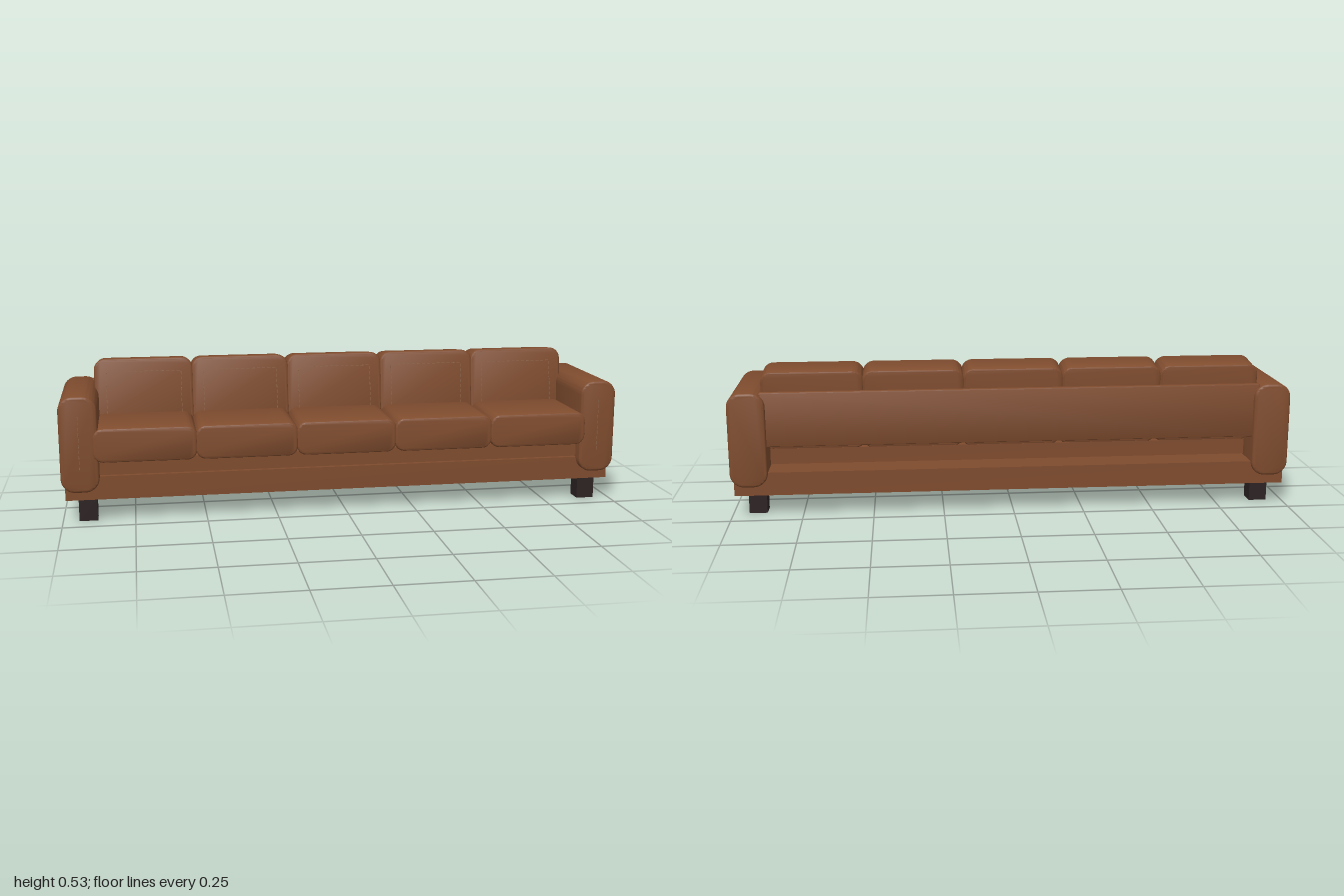
import * as THREE from 'three';
import { toCreasedNormals } from 'three/addons/utils/BufferGeometryUtils.js';

const material = (name, color) => Object.assign(new THREE.MeshStandardMaterial({ color }), { name });

// Rounded rectangle in XY, extruded along Z with softened edges, centred on the origin
function pad(w, h, d, r, bevel) {
  const x = w / 2 - bevel, y = h / 2 - bevel, c = r - bevel;
  const s = new THREE.Shape();
  s.absarc(x - c, y - c, c, 0, Math.PI / 2);
  s.absarc(-x + c, y - c, c, Math.PI / 2, Math.PI);
  s.absarc(-x + c, -y + c, c, Math.PI, Math.PI * 1.5);
  s.absarc(x - c, -y + c, c, Math.PI * 1.5, Math.PI * 2);
  s.closePath();
  const geo = new THREE.ExtrudeGeometry(s, {
    depth: d - 2 * bevel, bevelEnabled: true, bevelSize: bevel,
    bevelThickness: bevel, bevelSegments: 4, curveSegments: 8,
  });
  geo.translate(0, 0, -d / 2 + bevel);
  return toCreasedNormals(geo, 0.6);
}

export function createModel() {
  const model = new THREE.Group();
  const leather = material('brown leather', 0x7f4c2e);
  const darkWood = material('dark wood', 0x2d2223);
  const thread = material('tan thread', 0x8d6549);

  function add(name, geo, mat, x, y, z, parent = model) {
    const mesh = new THREE.Mesh(geo, mat);
    mesh.name = name;
    mesh.position.set(x, y, z);
    parent.add(mesh);
    return mesh;
  }
  // Box given by its limits
  const block = (name, mat, x0, x1, y0, y1, z0, z1) =>
    add(name, new THREE.BoxGeometry(x1 - x0, y1 - y0, z1 - z0), mat,
      (x0 + x1) / 2, (y0 + y1) / 2, (z0 + z1) / 2);

  // Row of short stitches between two points in a plane of constant z
  const dashAcross = new THREE.BoxGeometry(0.012, 0.002, 0.004);
  const dashDown = new THREE.BoxGeometry(0.002, 0.012, 0.004);
  function stitchRow(parent, x0, y0, x1, y1, z) {
    const n = Math.round(Math.hypot(x1 - x0, y1 - y0) / 0.02);
    const geo = Math.abs(x1 - x0) > Math.abs(y1 - y0) ? dashAcross : dashDown;
    for (let i = 0; i < n; i++) {
      const t = (i + 0.5) / n;
      add('stitch', geo, thread, x0 + (x1 - x0) * t, y0 + (y1 - y0) * t, z, parent);
    }
  }

  // Frame: plinth, seat deck and rear panel
  block('base', leather, -0.988, 0.988, 0.077, 0.16, -0.202, 0.184);
  block('seatDeck', leather, -0.9, 0.9, 0.163, 0.22, -0.1, 0.178);
  add('backPanel', pad(1.78, 0.195, 0.035, 0.008, 0.006), leather, 0, 0.35, -0.185);

  // Arms and legs, mirrored
  const armGeo = pad(0.132, 0.338, 0.431, 0.05, 0.01);
  for (const side of [-1, 1]) {
    const arm = new THREE.Group();
    arm.name = side > 0 ? 'leftArm' : 'rightArm';
    arm.position.set(side * 0.934, 0.279, -0.0015);
    model.add(arm);
    add('armPad', armGeo, leather, 0, 0, 0, arm);
    stitchRow(arm, 0, -0.09, 0, 0.105, 0.216);
    const x0 = side > 0 ? 0.88 : -0.944;
    block('frontLeg', darkWood, x0, x0 + 0.064, 0, 0.08, 0.115, 0.178);
    block('backLeg', darkWood, x0, x0 + 0.064, 0, 0.08, -0.162, -0.098);
  }

  // Five seat cushions and five tilted, stitched back cushions
  const seatGeo = pad(0.358, 0.12, 0.318, 0.035, 0.008);
  const backGeo = pad(0.356, 0.25, 0.123, 0.04, 0.008);
  for (let i = -2; i <= 2; i++) {
    add('seatCushion', seatGeo, leather, i * 0.354, 0.275, 0.059);

    const back = new THREE.Group();
    back.name = 'backCushion';
    back.position.set(i * 0.352, 0.401, -0.118);
    back.rotation.x = -0.125;
    model.add(back);
    add('cushionPad', backGeo, leather, 0, 0, 0, back);
    stitchRow(back, -0.135, 0.077, 0.135, 0.077, 0.0615);
    for (const s of [-1, 1]) stitchRow(back, s * 0.135, -0.08, s * 0.135, 0.077, 0.0615);
  }
  return model;
}
